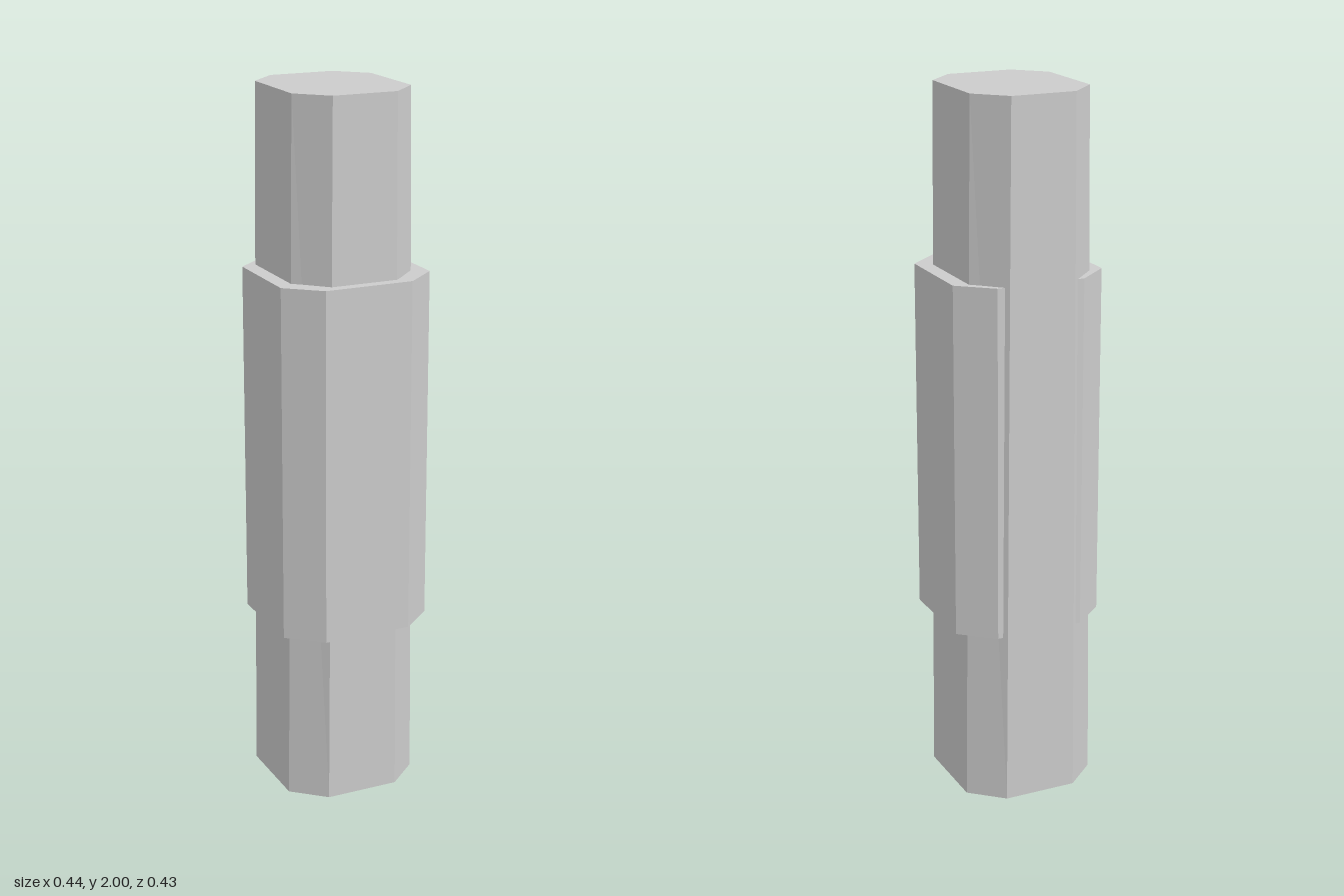
import * as THREE from 'three';

const grey = new THREE.MeshStandardMaterial({ color: 0xcccccc });
grey.name = 'grey';

// Upright prism with a chamfered rectangular section; topScale narrows its width towards the top
function octagonPrism(name, { halfX, flatX, back, front, sideBack, sideFront, y0, y1, topScale = 1 }) {
  const corners = [
    [flatX, front], [halfX, sideFront], [halfX, sideBack], [flatX, back],
    [-flatX, back], [-halfX, sideBack], [-halfX, sideFront], [-flatX, front],
  ];
  const shape = new THREE.Shape(corners.map(([x, z]) => new THREE.Vector2(x, -z)));
  const geometry = new THREE.ExtrudeGeometry(shape, { depth: y1 - y0, bevelEnabled: false });
  geometry.rotateX(-Math.PI / 2);
  geometry.translate(0, y0, 0);

  const p = geometry.attributes.position;
  for (let i = 0; i < p.count; i++) {
    const t = (p.getY(i) - y0) / (y1 - y0);
    p.setX(i, p.getX(i) * (1 + (topScale - 1) * t));
  }
  geometry.computeVertexNormals();

  const mesh = new THREE.Mesh(geometry, grey);
  mesh.name = name;
  return mesh;
}

export function createModel() {
  const model = new THREE.Group();
  model.name = 'sleevedPost';
  model.add(
    // Full-height post, slightly narrower at the top
    octagonPrism('post', {
      halfX: 0.195, flatX: 0.105, back: -0.215, front: 0.185,
      sideBack: -0.135, sideFront: 0.105, y0: 0, y1: 2, topScale: 0.882,
    }),
    // Thicker sleeve around the middle, with the post's back standing proud of it
    octagonPrism('sleeve', {
      halfX: 0.22, flatX: 0.127, back: -0.205, front: 0.215,
      sideBack: -0.126, sideFront: 0.135, y0: 0.5, y1: 1.5,
    }),
  );
  return model;
}
